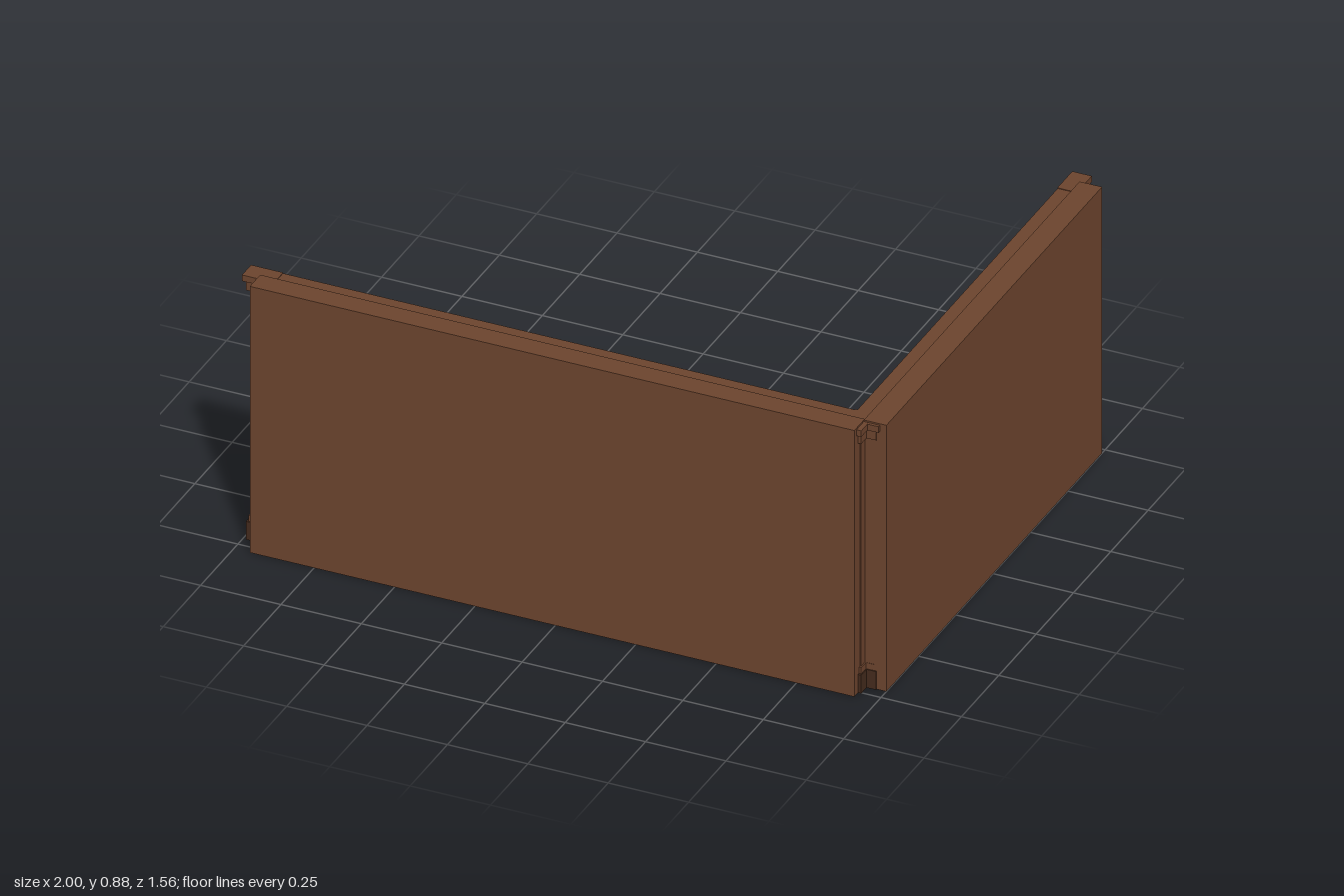
import * as THREE from 'three';

const wood = new THREE.MeshStandardMaterial({ color: 0x6b432d });
wood.name = 'brown wood';
const darkWood = new THREE.MeshStandardMaterial({ color: 0x432a1c });
darkWood.name = 'dark wood';

// Box given by its limits; depth d runs from the outer face (0) inwards (-z)
function block(parent, name, [x0, x1], [y0, y1], [d0, d1], material = wood) {
  const geometry = new THREE.BoxGeometry(x1 - x0, y1 - y0, d1 - d0);
  const mesh = new THREE.Mesh(geometry, material);
  mesh.name = name;
  mesh.position.set((x0 + x1) / 2, (y0 + y1) / 2, -(d0 + d1) / 2);
  parent.add(mesh);
}

// Rails, stiles and a sunk panel field between two heights
function panelRow(parent, name, half, [y0, y1], count) {
  const stile = 0.024, rail = 0.016, depth = [0.065, 0.082];
  const inner = half - 0.035;
  const group = new THREE.Group();
  group.name = name;
  block(group, 'bottomRail', [-inner, inner], [y0, y0 + rail], depth);
  block(group, 'topRail', [-inner, inner], [y1 - rail, y1], depth);
  for (let i = 0; i <= count; i++) {
    const x = -inner + (2 * inner * i) / count;
    block(group, 'stile', [x - stile / 2, x + stile / 2], [y0 + rail, y1 - rail], depth);
    block(group, 'stileBead', [x - 0.006, x + 0.006], [y0 + rail, y1 - rail], [0.08, 0.087]);
  }
  parent.add(group);
}

// Slim end pillar with plinth and stepped capital; side is -1 or 1
function pillar(parent, half, side) {
  const group = new THREE.Group();
  group.name = 'pillar';
  const span = (inset, out) => {
    const a = side * (half - inset), b = side * (half + out);
    return [Math.min(a, b), Math.max(a, b)];
  };
  block(group, 'plinth', span(0.04, 0.04), [0, 0.06], [0.06, 0.111], darkWood);
  block(group, 'plinthStep', span(0.035, 0.033), [0.06, 0.08], [0.063, 0.105]);
  block(group, 'shaft', span(0.025, 0.025), [0.08, 0.82], [0.067, 0.098]);
  block(group, 'capitalNeck', span(0.035, 0.04), [0.82, 0.85], [0.06, 0.108]);
  block(group, 'capitalTop', span(0.05, 0.05), [0.85, 0.87], [0.055, 0.116]);
  parent.add(group);
}

function panelledWall(name, half, upperCount, lowerCount) {
  const wall = new THREE.Group();
  wall.name = name;
  const full = [-half, half];
  block(wall, 'wallCore', full, [0, 0.875], [0, 0.07]);

  // Skirting
  block(wall, 'skirting', full, [0, 0.055], [0.065, 0.104], darkWood);
  block(wall, 'skirtingCap', full, [0.055, 0.072], [0.065, 0.096]);

  // Panels with a chair rail between the rows
  panelRow(wall, 'lowerPanels', half, [0.072, 0.225], lowerCount);
  block(wall, 'chairRailBase', full, [0.225, 0.25], [0.065, 0.092]);
  block(wall, 'chairRail', full, [0.25, 0.275], [0.065, 0.102]);
  panelRow(wall, 'upperPanels', half, [0.275, 0.82], upperCount);

  // Crown moulding
  block(wall, 'crownBase', full, [0.82, 0.848], [0.065, 0.1]);
  block(wall, 'crown', full, [0.848, 0.868], [0.065, 0.115]);

  for (const side of [-1, 1]) pillar(wall, half, side);
  return wall;
}

export function createModel() {
  const model = new THREE.Group();
  model.name = 'panelledCornerWalls';

  const frontWall = panelledWall('frontWall', 0.94, 6, 8);
  frontWall.position.set(-0.01, 0, 0.778);

  const sideWall = panelledWall('sideWall', 0.722, 5, 6);
  sideWall.rotation.y = Math.PI / 2;
  sideWall.position.set(1, 0, -0.008);

  model.add(frontWall, sideWall);
  return model;
}
